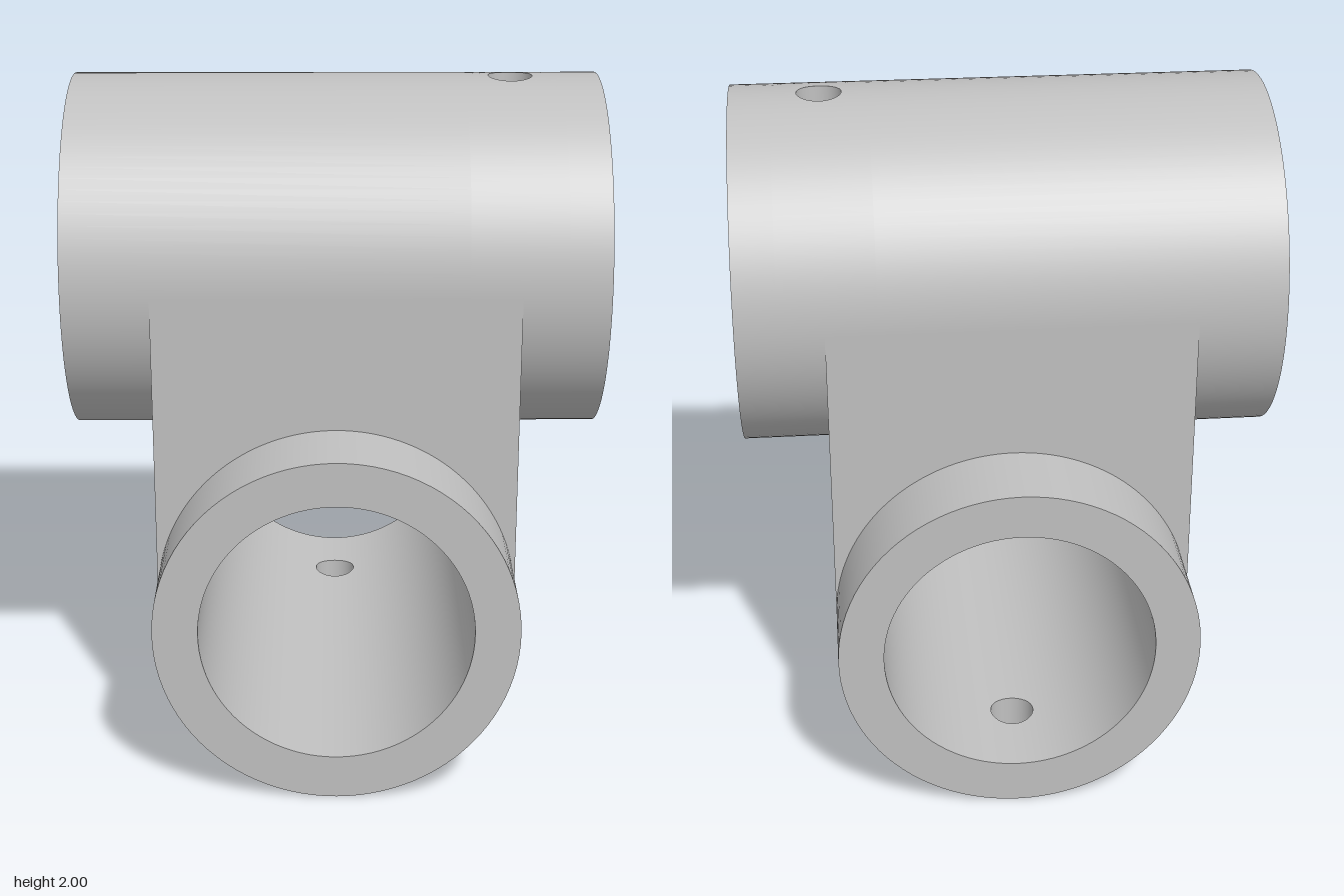
import * as THREE from 'three';
import { mergeGeometries } from 'three/addons/utils/BufferGeometryUtils.js';

const R = 0.533;      // outer radius
const BORE = 0.4;     // inner radius
const HALF = 0.787;   // half length of each tube
const HOLE_X = 0.523; // pin hole position along the tube
const HOLE_R = 0.066;
const SEG = 96;
const PATCH_A = (4 / SEG) * Math.PI * 2; // half angle of the patch around the pin hole
const PATCH_X = 0.14;                    // half length of that patch
const LOW_Y = R, HIGH_Y = 2 - R;

// Grid surface; fn(u, v) gives [x, y, z, nx, ny, nz] and faces follow the normals
function grid(nu, nv, fn) {
  const pos = [], nor = [], uv = [], index = [];
  for (let i = 0; i <= nu; i++) {
    for (let j = 0; j <= nv; j++) {
      const p = fn(i / nu, j / nv);
      pos.push(...p.slice(0, 3));
      nor.push(...p.slice(3));
      uv.push(i / nu, j / nv);
    }
  }
  const vec = (list, k) => new THREE.Vector3().fromArray(list, k * 3);
  const tri = (a, b, c) => {
    const A = vec(pos, a);
    const face = vec(pos, b).sub(A).cross(vec(pos, c).sub(A));
    const n = vec(nor, a).add(vec(nor, b)).add(vec(nor, c));
    index.push(...(face.dot(n) > 0 ? [a, b, c] : [a, c, b]));
  };
  for (let i = 0; i < nu; i++) {
    for (let j = 0; j < nv; j++) {
      const a = i * (nv + 1) + j, b = a + nv + 1;
      tri(a, b, b + 1);
      tri(a, b + 1, a + 1);
    }
  }
  const g = new THREE.BufferGeometry();
  g.setAttribute('position', new THREE.Float32BufferAttribute(pos, 3));
  g.setAttribute('normal', new THREE.Float32BufferAttribute(nor, 3));
  g.setAttribute('uv', new THREE.Float32BufferAttribute(uv, 2));
  g.setIndex(index);
  return g;
}

// Cylinder skin along x with a round hole at the top; side is 1 outside, -1 inside
function skin(r, side) {
  const at = (x, a) => {
    const c = Math.cos(a), s = Math.sin(a);
    return [x, r * c, r * s, 0, side * c, side * s];
  };
  const band = (x0, x1, a0, a1) => grid(1, Math.round((a1 - a0) / (Math.PI * 2) * SEG),
    (u, v) => at(x0 + (x1 - x0) * u, a0 + (a1 - a0) * v));
  const x0 = HOLE_X - PATCH_X, x1 = HOLE_X + PATCH_X, turn = Math.PI * 2;
  // patch that blends from the hole rim to a square border
  const patch = grid(4, 32, (u, v) => {
    const c = Math.cos(v * turn), s = Math.sin(v * turn);
    const m = Math.max(Math.abs(c), Math.abs(s));
    const sx = Math.atan(c / m) * 4 / Math.PI, sa = Math.atan(s / m) * 4 / Math.PI;
    const x = THREE.MathUtils.lerp(HOLE_R * c, PATCH_X * sx, u);
    const a = THREE.MathUtils.lerp(Math.asin(HOLE_R * s / r), PATCH_A * sa, u);
    return at(HOLE_X + x, a);
  });
  return mergeGeometries([
    band(-HALF, x0, 0, turn),
    band(x1, HALF, 0, turn),
    band(x0, x1, PATCH_A, turn - PATCH_A),
    patch,
  ]);
}

// Wall of the pin hole, between the bore and the outer skin
function pinHoleWall() {
  return grid(1, 32, (u, v) => {
    const c = Math.cos(v * Math.PI * 2), s = Math.sin(v * Math.PI * 2);
    const r = u ? R : BORE, z = HOLE_R * s;
    return [HOLE_X + HOLE_R * c, Math.sqrt(r * r - z * z), z, -c, 0, -s];
  });
}

// Saddle wall: straight at the base, cut by the other tube's round at the top
function saddleWall() {
  const s = new THREE.Shape();
  s.moveTo(-R, LOW_Y);
  s.lineTo(R, LOW_Y);
  s.lineTo(R, HIGH_Y);
  s.absarc(0, HIGH_Y, R, 0, -Math.PI, true);
  s.lineTo(-R, LOW_Y);
  return new THREE.ShapeGeometry(s, SEG / 2);
}

export function createModel() {
  const model = new THREE.Group();
  model.name = 'crossTubeConnector';
  const grey = new THREE.MeshStandardMaterial({ color: 0xc0c0c0 });
  grey.name = 'light grey';

  const add = (parent, geometry, name) => {
    const mesh = new THREE.Mesh(geometry, grey);
    mesh.name = name;
    parent.add(mesh);
    return mesh;
  };

  const parts = {
    outerSkin: skin(R, 1),
    bore: skin(BORE, -1),
    pinHole: pinHoleWall(),
  };
  const ring = new THREE.RingGeometry(BORE, R, SEG);

  // Tube along x with its pin hole on top
  const makeTube = (name) => {
    const tube = new THREE.Group();
    tube.name = name;
    for (const [part, geometry] of Object.entries(parts)) add(tube, geometry, part);
    for (const side of [1, -1]) {
      const end = add(tube, ring, 'endRing');
      end.position.x = side * HALF;
      end.rotation.y = side * Math.PI / 2;
    }
    model.add(tube);
    return tube;
  };

  makeTube('upperTube').position.y = HIGH_Y;

  // Lower tube runs along z, upside down, pin hole towards the back
  const lower = makeTube('lowerTube');
  lower.position.y = LOW_Y;
  lower.setRotationFromMatrix(new THREE.Matrix4().makeBasis(
    new THREE.Vector3(0, 0, -1), new THREE.Vector3(0, -1, 0), new THREE.Vector3(-1, 0, 0)));

  // Square block between the tubes
  const sideWall = saddleWall();
  const frontWall = saddleWall().rotateZ(Math.PI).translate(0, 2, 0);
  for (const side of [1, -1]) {
    const flank = add(model, sideWall, side > 0 ? 'leftBlockWall' : 'rightBlockWall');
    flank.position.x = side * R;
    flank.rotation.y = side * Math.PI / 2;
    const face = add(model, frontWall, side > 0 ? 'frontBlockWall' : 'backBlockWall');
    face.position.z = side * R;
    face.rotation.y = side > 0 ? 0 : Math.PI;
  }
  return model;
}
